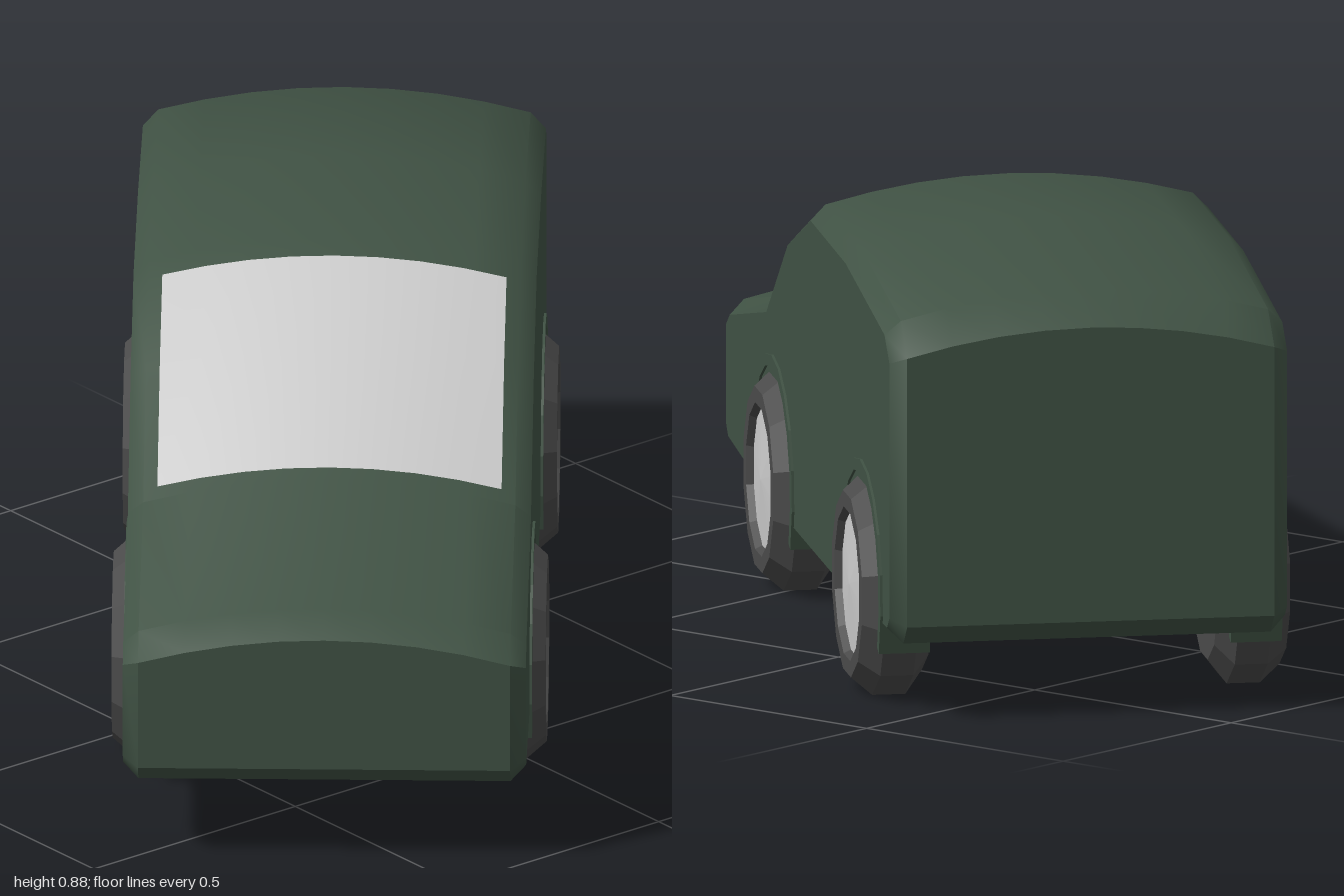
import * as THREE from 'three';
import { toCreasedNormals } from 'three/addons/utils/BufferGeometryUtils.js';

const KNEE = 0.36;   // half width where the side bevel starts
const HALF = 0.39;   // half width of the flat side
const BEVEL = 0.03;
const CROWN = 0.05;  // sideways arch of roof and bonnet

// Side outline along the middle of the car, nose at +x, counter-clockwise
const OUTLINE = [
  [-0.95, 0.15], [-0.3, 0.13], [0.4, 0.13], [0.95, 0.16], [0.995, 0.2],
  [0.995, 0.47], [0.93, 0.51], [0.5, 0.6], [0.25, 0.78], [-0.03, 0.885],
  [-0.45, 0.882], [-0.92, 0.83], [-0.995, 0.77], [-0.995, 0.19],
].map(([x, y]) => new THREE.Vector2(x, y));

const crownDrop = (w) => CROWN * (w / KNEE) ** 2;

// Move every outline point inward by a constant distance from its two edges
function inset(points, d) {
  const n = points.length;
  const normal = (a, b) => new THREE.Vector2(b.y - a.y, a.x - b.x).normalize();
  return points.map((p, i) => {
    const n1 = normal(points[(i + n - 1) % n], p);
    const n2 = normal(p, points[(i + 1) % n]);
    const m = n1.clone().add(n2);
    return p.clone().addScaledVector(m, -d / (1 + n1.dot(n2)));
  });
}

// Outline at one station across the width
function section(w) {
  const a = Math.min(Math.abs(w), KNEE);
  const crowned = OUTLINE.map((p) => new THREE.Vector2(p.x, p.y > 0.4 ? p.y - crownDrop(a) : p.y));
  return Math.abs(w) > KNEE ? inset(crowned, BEVEL) : crowned;
}

function bodyGeometry() {
  const stations = [-HALF, -KNEE, -0.27, -0.18, -0.09, 0, 0.09, 0.18, 0.27, KNEE, HALF];
  const n = OUTLINE.length;
  const position = [];
  const index = [];
  stations.forEach((w, j) => {
    section(w).forEach((p) => position.push(p.x, p.y, w));
    if (j === stations.length - 1) return;
    for (let i = 0; i < n; i++) {
      const a = j * n + i, b = j * n + (i + 1) % n;
      index.push(a, b, b + n, a, b + n, a + n);
    }
  });
  // Flat side panels
  const last = (stations.length - 1) * n;
  for (const [a, b, c] of THREE.ShapeUtils.triangulateShape(section(HALF), [])) {
    index.push(last + a, last + b, last + c, a, c, b);
  }
  const g = new THREE.BufferGeometry();
  g.setAttribute('position', new THREE.Float32BufferAttribute(position, 3));
  g.setIndex(index);
  return toCreasedNormals(g, 0.65);
}

// Curved pane lying just above the body between bonnet and roof
function windscreenGeometry() {
  const rows = [[0.48, 0.614], [0.25, 0.78], [0.02, 0.866]];
  const cols = 8;
  const g = new THREE.PlaneGeometry(1, 1, cols, rows.length - 1);
  const pos = g.attributes.position;
  for (let k = 0; k < pos.count; k++) {
    const [x, y] = rows[Math.floor(k / (cols + 1))];
    const w = -0.333 + 0.666 * (k % (cols + 1)) / cols;
    pos.setXYZ(k, x + 0.003, y - crownDrop(w) + 0.005, w);
  }
  g.computeVertexNormals();
  return g;
}

function lathe(points) {
  const g = new THREE.LatheGeometry(points.map(([r, h]) => new THREE.Vector2(r, h)), 12);
  return g.rotateY(Math.PI / 12).rotateX(Math.PI / 2);
}

// Half ring around a wheel, outer face at z = 0
function archGeometry() {
  const s = new THREE.Shape();
  const from = -0.4, to = Math.PI + 0.4;
  s.absarc(0, 0, 0.245, from, to, false);
  s.absarc(0, 0, 0.222, to, from, true);
  return new THREE.ExtrudeGeometry(s, { depth: 0.1, bevelEnabled: false, curveSegments: 6 }).translate(0, 0, -0.1);
}

export function createModel() {
  const model = new THREE.Group();
  const car = new THREE.Group();
  car.name = 'car';
  car.rotation.y = -THREE.MathUtils.degToRad(40);
  model.add(car);

  const paint = new THREE.MeshStandardMaterial({ color: 0x405244 });
  const paintFlat = new THREE.MeshStandardMaterial({ color: 0x405244, flatShading: true });
  const grey = new THREE.MeshStandardMaterial({ color: 0xcccccc });
  const glass = new THREE.MeshStandardMaterial({ color: 0xcccccc, side: THREE.DoubleSide });
  const rubber = new THREE.MeshStandardMaterial({ color: 0x4a4a4a, flatShading: true });

  const add = (parent, name, geometry, material) => {
    const mesh = new THREE.Mesh(geometry, material);
    mesh.name = name;
    parent.add(mesh);
    return mesh;
  };

  add(car, 'body', bodyGeometry(), paint);
  add(car, 'windscreen', windscreenGeometry(), glass);

  // Wheels and arches, mirrored to both sides
  const tyre = lathe([[0, -0.07], [0.17, -0.07], [0.217, -0.035], [0.217, 0.03],
    [0.182, 0.07], [0.15, 0.07], [0.142, 0.055]]);
  const hub = lathe([[0.143, 0.056], [0, 0.066]]);
  const arch = archGeometry();
  for (const [end, x] of [['front', 0.4], ['rear', -0.645]]) {
    for (const side of [1, -1]) {
      const wheel = new THREE.Group();
      wheel.name = end + 'Wheel';
      wheel.position.set(x, 0.21, side * 0.35);
      wheel.rotation.y = side > 0 ? 0 : Math.PI;
      add(wheel, 'tyre', tyre, rubber);
      add(wheel, 'hub', hub, grey);
      add(wheel, 'wheelArch', arch, paintFlat).position.z = 0.045;
      car.add(wheel);
    }
  }
  return model;
}
